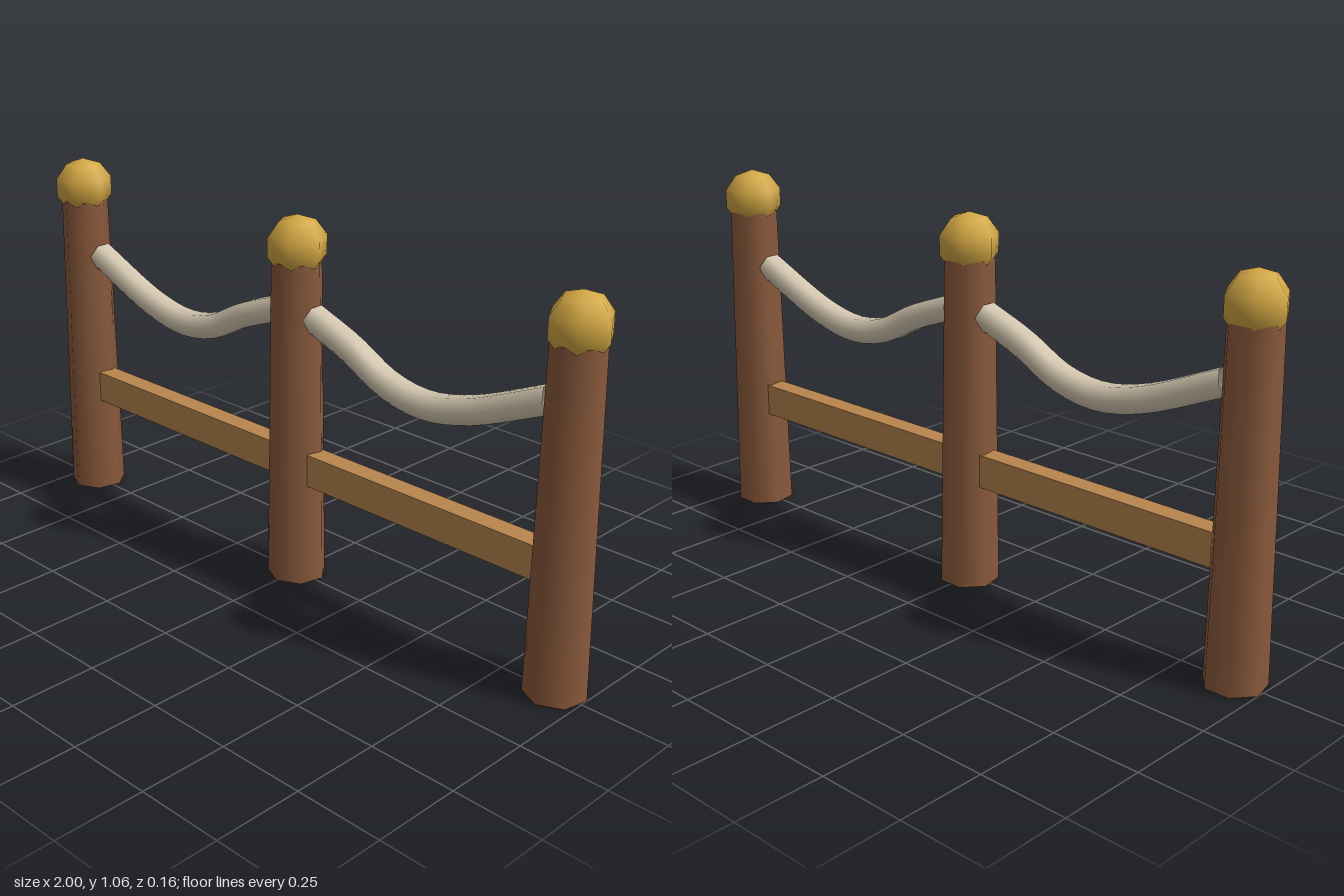
import * as THREE from 'three';

const mat = (name, color, side = THREE.FrontSide) => {
  const m = new THREE.MeshStandardMaterial({ color, side });
  m.name = name;
  return m;
};

export function createModel() {
  const fence = new THREE.Group();
  fence.name = 'ropeFence';

  const postWood = mat('postBrown', 0x8b5a3c);
  const railWood = mat('railTan', 0xb8864e);
  const brass = mat('knobGold', 0xd4a843);
  const ropeFibre = mat('ropeCream', 0xd9ccb4, THREE.DoubleSide);

  const add = (name, geometry, material, x = 0, y = 0) => {
    const mesh = new THREE.Mesh(geometry, material);
    mesh.name = name;
    mesh.position.set(x, y, -0.004);
    fence.add(mesh);
  };

  // Three tapered seven-sided posts, each with a round knob
  const postGeo = new THREE.CylinderGeometry(0.071, 0.085, 0.94, 7);
  const knobGeo = new THREE.SphereGeometry(0.0875, 6, 5);
  for (const [label, x] of [['right', -0.917], ['middle', 0], ['left', 0.917]]) {
    add(`${label}Post`, postGeo, postWood, x, 0.47);
    add(`${label}Knob`, knobGeo, brass, x, 0.977);
  }

  // A rail and a sagging rope in each bay, mirrored about the middle post
  const railGeo = new THREE.BoxGeometry(0.78, 0.095, 0.06);
  const sag = [[0.06, 0.79], [0.2, 0.737], [0.33, 0.672], [0.457, 0.65], [0.6, 0.675], [0.85, 0.776]];
  for (const [label, s] of [['right', -1], ['left', 1]]) {
    add(`${label}Rail`, railGeo, railWood, s * 0.457, 0.348);
    const path = new THREE.CatmullRomCurve3(sag.map(([x, y]) => new THREE.Vector3(s * x, y, 0)));
    add(`${label}Rope`, new THREE.TubeGeometry(path, 20, 0.04, 6), ropeFibre);
  }

  return fence;
}
